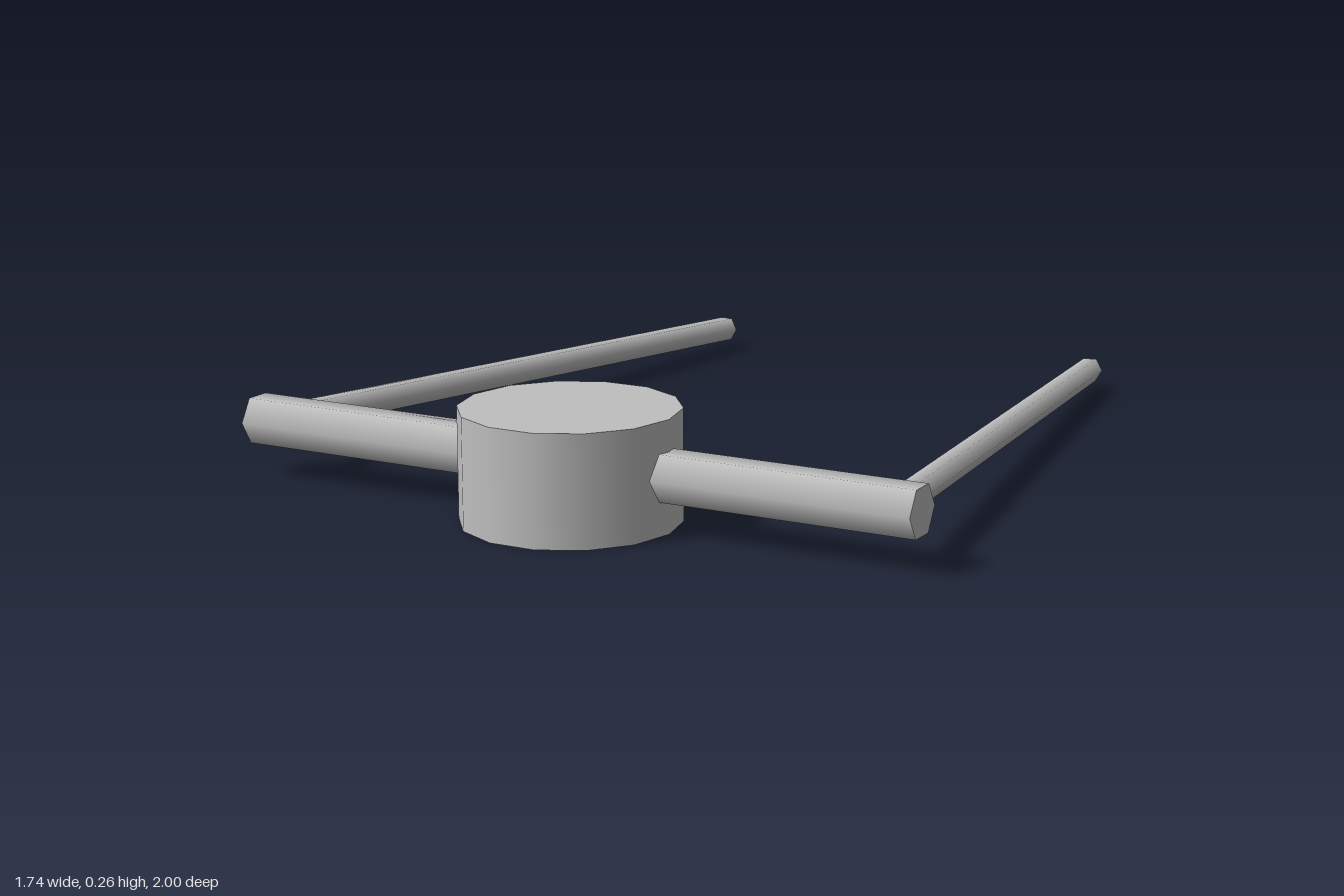
import * as THREE from 'three';

export function createModel() {
  const model = new THREE.Group();
  const grey = new THREE.MeshStandardMaterial({ color: 0xbfbfbf, side: THREE.DoubleSide });
  grey.name = 'grey';

  const add = (name, geometry) => {
    const mesh = new THREE.Mesh(geometry, grey);
    mesh.name = name;
    model.add(mesh);
    return mesh;
  };

  // Central drum, fourteen sides with corners on the x axis
  const drum = new THREE.CylinderGeometry(0.255, 0.255, 0.262, 14).rotateY(Math.PI / 2);
  add('drum', drum).position.set(0, 0.131, 0.75);

  // Hexagonal crossbar through the drum
  const bar = new THREE.CylinderGeometry(0.063, 0.063, 1.74, 6).rotateZ(Math.PI / 2);
  add('crossbar', bar).position.set(0, 0.134, 0.75);

  // Open hexagonal arms running back from the crossbar, leaning inward and down
  for (const side of [1, -1]) {
    const front = new THREE.Vector3(side * 0.803, 0.137, 0.72);
    const back = new THREE.Vector3(side * 0.55, 0.055, -0.995);
    const arm = new THREE.CylinderGeometry(0.034, 0.034, front.distanceTo(back), 6, 1, true)
      .rotateY(Math.PI / 2)
      .rotateX(Math.PI / 2);
    const mesh = add(side > 0 ? 'leftArm' : 'rightArm', arm);
    mesh.position.lerpVectors(front, back, 0.5);
    mesh.lookAt(front);
  }

  return model;
}
